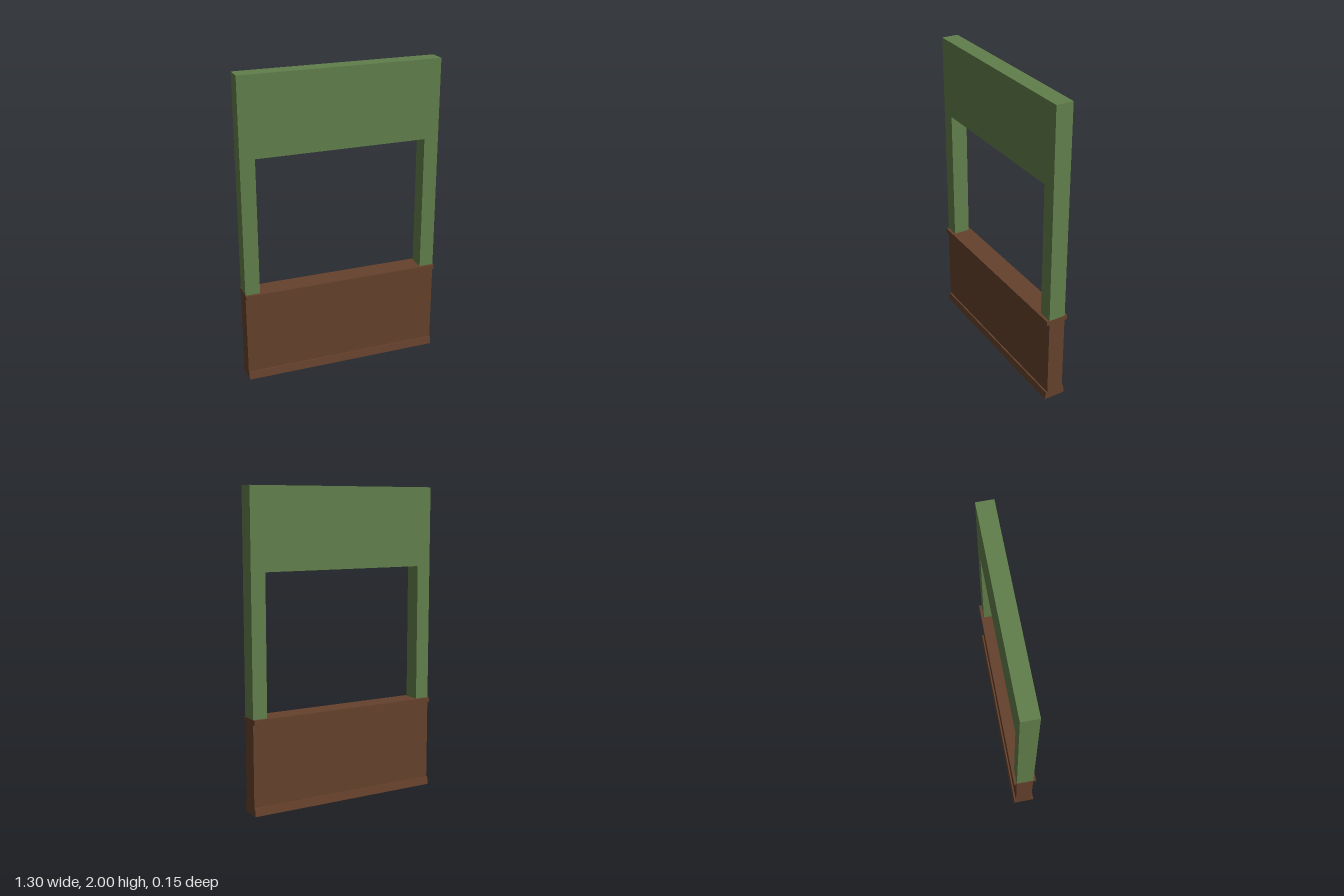
import * as THREE from 'three';

const HALF_W = 0.65, HALF_D = 0.055, SILL_Y = 0.603;

function extrude(points, depth) {
  const shape = new THREE.Shape(points.map(([x, y]) => new THREE.Vector2(x, y)));
  const geometry = new THREE.ExtrudeGeometry(shape, { depth, bevelEnabled: false });
  return geometry.translate(0, 0, -depth / 2);
}

export function createModel() {
  const group = new THREE.Group();
  group.name = 'windowWall';
  const green = new THREE.MeshStandardMaterial({ name: 'green paint', color: 0x627f4b });
  const brown = new THREE.MeshStandardMaterial({ name: 'brown wood', color: 0x65412c });

  const add = (name, geometry, material) => {
    const mesh = new THREE.Mesh(geometry, material);
    mesh.name = name;
    group.add(mesh);
  };

  // Lower panel with sloped skirting and projecting sill: one profile run along x
  const side = [[0.073, 0], [0.065, 0.05], [HALF_D, 0.05], [HALF_D, 0.572], [0.073, 0.572], [0.073, SILL_Y]];
  const mirrored = side.map(([z, y]) => [-z, y]).reverse();
  add('wainscot', extrude([...side, ...mirrored], HALF_W * 2).rotateY(Math.PI / 2), brown);

  // Upper wall: two posts and a deep header around the opening
  const inner = 0.555, headY = 1.49;
  add('upperWall', extrude([
    [-HALF_W, SILL_Y], [-inner, SILL_Y], [-inner, headY], [inner, headY],
    [inner, SILL_Y], [HALF_W, SILL_Y], [HALF_W, 2], [-HALF_W, 2],
  ], HALF_D * 2), green);

  return group;
}
